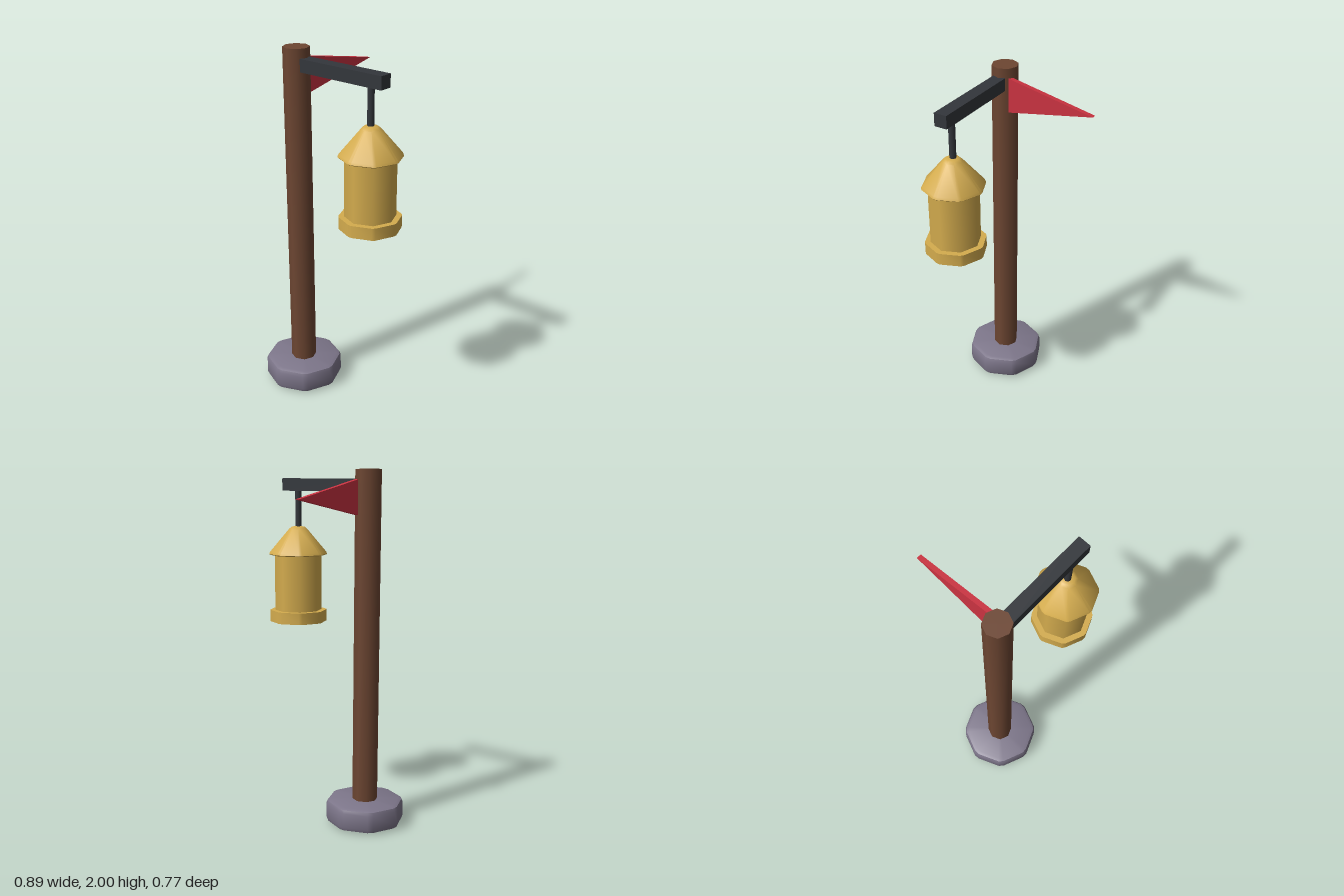
import * as THREE from 'three';
import { toCreasedNormals } from 'three/addons/utils/BufferGeometryUtils.js';

const material = (name, color) => new THREE.MeshStandardMaterial({ name, color });

// Octagonal solid with clipped corners, turned from [radius, height] points, bottom to top
function octagonSolid(profile, cut, crease) {
  const points = profile.map(([r, y]) => new THREE.Vector2(r, y));
  const geo = new THREE.LatheGeometry(points, 16);
  const pos = geo.attributes.position;
  const corner = (k) => [Math.sin(k * Math.PI / 4), Math.cos(k * Math.PI / 4)];
  for (let i = 0; i <= 16; i++) {
    const k = Math.floor((i % 16) / 2);
    const a = corner(k), b = corner(k + 1);
    const t = i % 2 ? 1 - cut : cut;
    profile.forEach(([r], j) => {
      const v = i * profile.length + j;
      pos.setX(v, r * (a[0] + (b[0] - a[0]) * t));
      pos.setZ(v, r * (a[1] + (b[1] - a[1]) * t));
    });
  }
  return toCreasedNormals(geo, crease);
}

export function createModel() {
  const model = new THREE.Group();
  model.name = 'lanternPost';
  const wood = material('wood', 0x6d4632);
  const stone = material('stone', 0x7d768a);
  const iron = material('iron', 0x33363b);
  const gold = material('gold', 0xd4ac4e);
  const red = material('red', 0xcb3341);

  const add = (name, geo, mat, x, y, z, parent = model) => {
    const mesh = new THREE.Mesh(geo, mat);
    mesh.name = name;
    mesh.position.set(x, y, z);
    parent.add(mesh);
  };
  const postX = -0.225, lampX = 0.275, z = 0.161;

  // Stone foot with rounded edges
  add('footStone', octagonSolid([
    [0, 0.006], [0.2, 0.006], [0.219, 0.013], [0.227, 0.032],
    [0.227, 0.114], [0.219, 0.132], [0.2, 0.14], [0, 0.14],
  ], 0.1, 0.75), stone, postX, 0, z);

  // Post and its side arm
  add('post', new THREE.CylinderGeometry(0.072, 0.072, 2, 8), wood, postX, 1, z);
  add('arm', new THREE.BoxGeometry(0.55, 0.07, 0.072), iron, 0.088, 1.914, z);
  add('hangingRod', new THREE.CylinderGeometry(0.018, 0.018, 0.25, 8), iron, 0.272, 1.775, z);

  // Lantern
  const lantern = new THREE.Group();
  lantern.name = 'lantern';
  lantern.position.set(lampX, 0, z);
  model.add(lantern);
  add('lanternBody', new THREE.CylinderGeometry(0.136, 0.136, 0.36, 8), gold, 0, 1.355, 0, lantern);
  add('lanternBase', octagonSolid([
    [0, 1.125], [0.169, 1.125], [0.169, 1.192], [0, 1.192],
  ], 0.08, 0.75), gold, 0, 0, 0, lantern);
  add('lanternRoof', octagonSolid([
    [0, 1.514], [0.166, 1.514], [0.172, 1.519], [0.166, 1.532],
    [0.054, 1.662], [0.04, 1.674], [0.022, 1.678], [0, 1.678],
  ], 0.08, 0.6), gold, 0, 0, 0, lantern);

  // Pennant pointing backwards, drawn in the side plane
  const flag = new THREE.Shape([
    new THREE.Vector2(-0.125, 1.95),
    new THREE.Vector2(-0.125, 1.753),
    new THREE.Vector2(0.384, 1.85),
  ]);
  const flagGeo = new THREE.ExtrudeGeometry(flag, { depth: 0.026, bevelEnabled: false });
  flagGeo.rotateY(Math.PI / 2);
  add('pennant', flagGeo, red, -0.202, 0, 0);

  return model;
}
